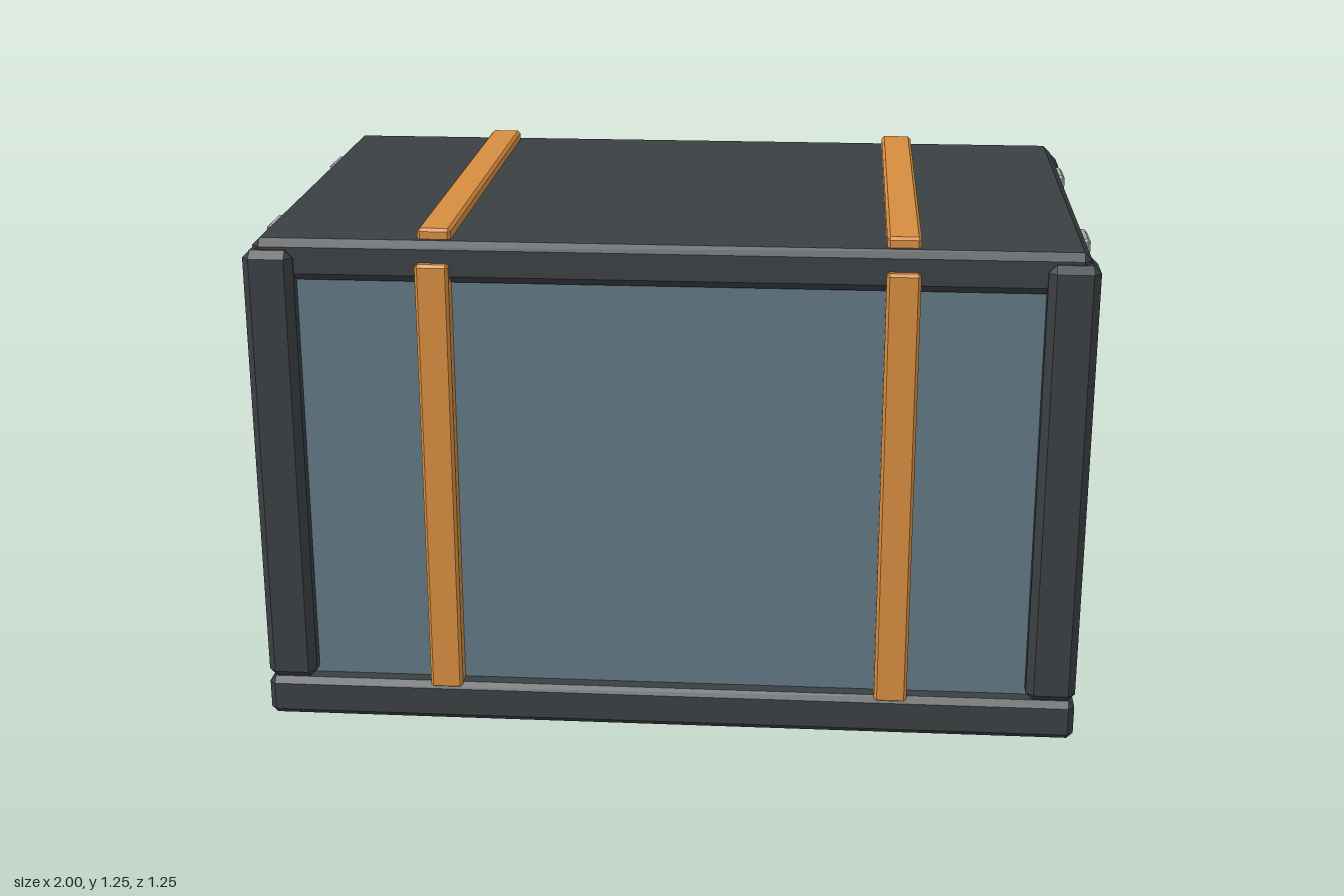
import * as THREE from 'three';
import { ConvexGeometry } from 'three/addons/geometries/ConvexGeometry.js';

const paint = (color) => new THREE.MeshStandardMaterial({ color });

// Box with every edge cut by a flat chamfer: three points per corner
function chamferBox(w, h, d, c) {
  const points = [];
  for (const x of [-1, 1]) for (const y of [-1, 1]) for (const z of [-1, 1]) {
    for (let axis = 0; axis < 3; axis++) {
      const inset = [c, c, c];
      inset[axis] = 0;
      points.push(new THREE.Vector3(
        x * (w / 2 - inset[0]), y * (h / 2 - inset[1]), z * (d / 2 - inset[2])));
    }
  }
  return new ConvexGeometry(points);
}

export function createModel() {
  const group = new THREE.Group();
  const frame = paint(0x3a3f43);
  const panel = paint(0x607681);
  const strap = paint(0xd58d3f);
  const metal = paint(0xa4a9ad);

  // Add a chamfered block spanning the given ranges
  function block(name, material, [x0, x1], [y0, y1], [z0, z1], chamfer) {
    const mesh = new THREE.Mesh(chamferBox(x1 - x0, y1 - y0, z1 - z0, chamfer), material);
    mesh.name = name;
    mesh.position.set((x0 + x1) / 2, (y0 + y1) / 2, (z0 + z1) / 2);
    group.add(mesh);
  }
  const mirror = (side, a, b) => (side > 0 ? [a, b] : [-b, -a]);

  // Main case
  block('body', panel, [-0.955, 0.955], [0.05, 1.18], [-0.578, 0.578], 0.01);
  block('base', frame, [-1, 1], [0, 0.1], [-0.625, 0.625], 0.015);
  block('lid', frame, [-0.98, 0.98], [1.125, 1.225], [-0.602, 0.602], 0.018);

  for (const sx of [-1, 1]) {
    const side = sx > 0 ? 'left' : 'right';

    // Strap across the lid
    block(side + 'LidStrap', strap, mirror(sx, 0.51, 0.59), [1.205, 1.25], [-0.572, 0.572], 0.007);

    // Carry handle on the end panel
    block(side + 'HandlePlate', frame, mirror(sx, 0.94, 0.978), [0.603, 0.853], [-0.26, 0.26], 0.007);
    block(side + 'HandleBar', metal, mirror(sx, 0.96, 0.996), [0.715, 0.767], [-0.187, 0.187], 0.007);

    for (const sz of [-1, 1]) {
      const corner = side + (sz > 0 ? 'Front' : 'Back');
      block(corner + 'Post', frame, mirror(sx, 0.88, 1), [0.1, 1.2], mirror(sz, 0.502, 0.625), 0.018);
      block(corner + 'Strap', strap, mirror(sx, 0.51, 0.59), [0.085, 1.175], mirror(sz, 0.57, 0.622), 0.007);
      block(corner + 'Latch', metal, mirror(sx, 0.94, 0.996), [0.973, 1.207], mirror(sz, 0.284, 0.394), 0.007);
    }
  }
  return group;
}
